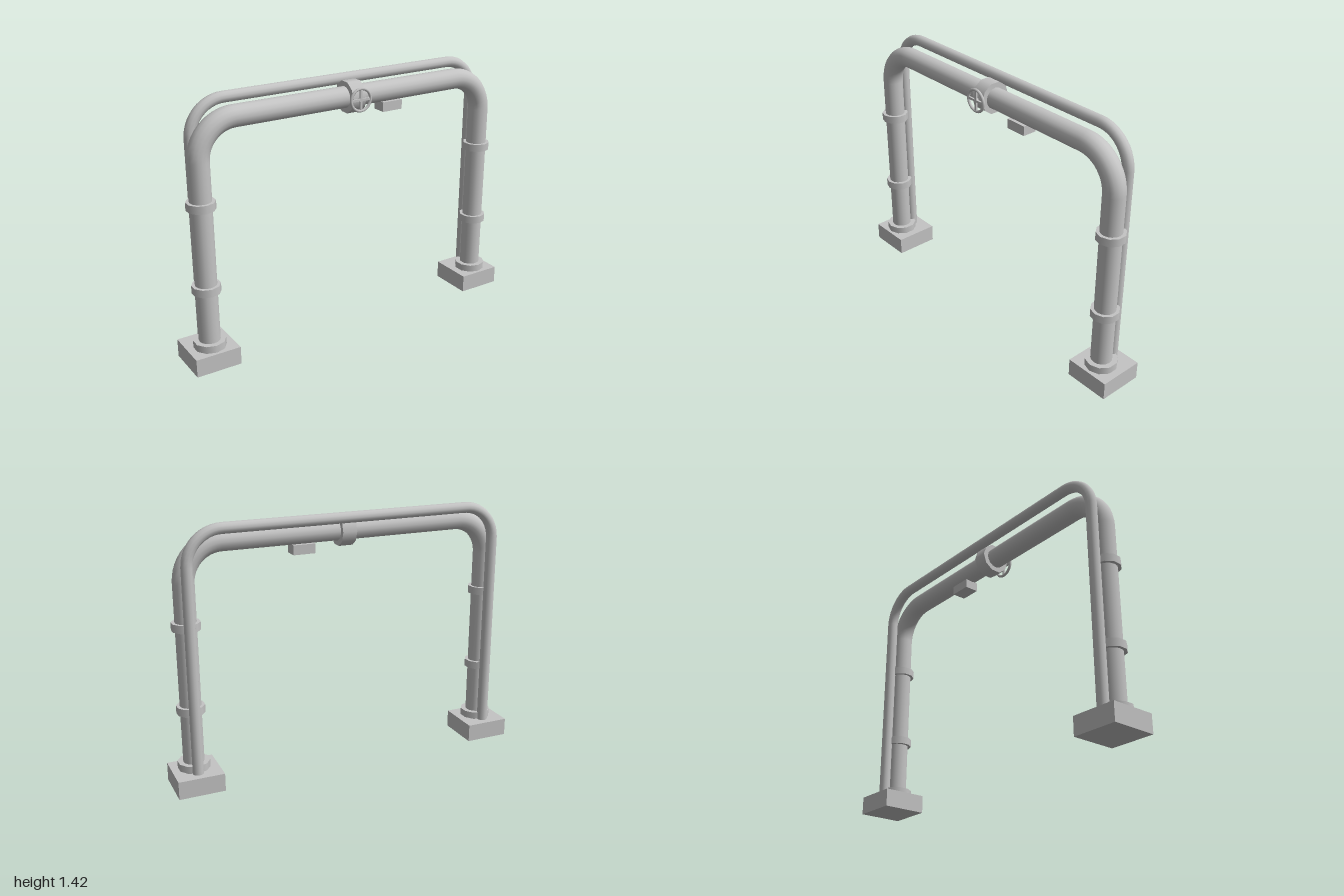
import * as THREE from 'three';

const LEG_X = 0.877; // leg centre line
const PIPE_Z = 0.0225; // main pipe depth
const PIPE_Y = 1.317; // main pipe height

// Arch-shaped centre line: leg, bend, crossbar, bend, leg
class ArchCurve extends THREE.Curve {
  constructor(top, bend, z) {
    super();
    this.z = z;
    this.path = new THREE.Path();
    this.path.moveTo(-LEG_X, 0.08);
    this.path.lineTo(-LEG_X, top - bend);
    this.path.absarc(-LEG_X + bend, top - bend, bend, Math.PI, Math.PI / 2, true);
    this.path.absarc(LEG_X - bend, top - bend, bend, Math.PI / 2, 0, true);
    this.path.lineTo(LEG_X, 0.08);
  }
  getPoint(t, target = new THREE.Vector3()) {
    const p = this.path.getPoint(t);
    return target.set(p.x, p.y, this.z);
  }
}

export function createModel() {
  const model = new THREE.Group();
  model.name = 'pipeArch';
  const metal = new THREE.MeshStandardMaterial({ color: 0xc4c4c4 });
  metal.name = 'greyMetal';

  const add = (name, geometry, x, y, z, parent = model) => {
    const mesh = new THREE.Mesh(geometry, metal);
    mesh.name = name;
    mesh.position.set(x, y, z);
    parent.add(mesh);
    return mesh;
  };

  // Main pipe and the thinner pipe behind it
  add('mainPipe', new THREE.TubeGeometry(new ArchCurve(PIPE_Y, 0.2, PIPE_Z), 160, 0.057, 16), 0, 0, 0);
  add('thinPipe', new THREE.TubeGeometry(new ArchCurve(1.395, 0.185, -0.06), 160, 0.03, 12), 0, 0, 0);

  // Footing, flange and clamps on each leg
  for (const [side, s] of [['left', 1], ['right', -1]]) {
    add(side + 'Footing', new THREE.BoxGeometry(0.25, 0.1, 0.25), s * 0.875, 0.05, 0);
    add(side + 'Flange', new THREE.CylinderGeometry(0.087, 0.087, 0.04, 10), s * LEG_X, 0.12, PIPE_Z);
    for (const [level, y] of [['Lower', 0.438], ['Upper', 0.893]]) {
      add(side + level + 'Clamp', new THREE.CylinderGeometry(0.076, 0.076, 0.043, 10), s * LEG_X, y, PIPE_Z);
    }
  }

  // Valve collar around the crossbar
  add('valveBody', new THREE.CylinderGeometry(0.087, 0.087, 0.08, 10), 0, PIPE_Y, PIPE_Z).rotation.z = Math.PI / 2;

  // Handwheel with stem and crossed spokes
  const wheel = new THREE.Group();
  wheel.name = 'handwheel';
  wheel.position.set(0, PIPE_Y, 0.118);
  model.add(wheel);
  add('wheelRim', new THREE.TorusGeometry(0.059, 0.008, 8, 24), 0, 0, 0, wheel);
  add('valveStem', new THREE.CylinderGeometry(0.012, 0.012, 0.04, 8), 0, 0, -0.016, wheel).rotation.x = Math.PI / 2;
  add('uprightSpoke', new THREE.BoxGeometry(0.012, 0.118, 0.01), 0, 0, 0, wheel);
  add('levelSpoke', new THREE.BoxGeometry(0.118, 0.012, 0.01), 0, 0, 0, wheel);

  // Small box slung under the crossbar
  add('hangingBox', new THREE.BoxGeometry(0.122, 0.052, 0.08), 0.24, 1.237, PIPE_Z);

  return model;
}
